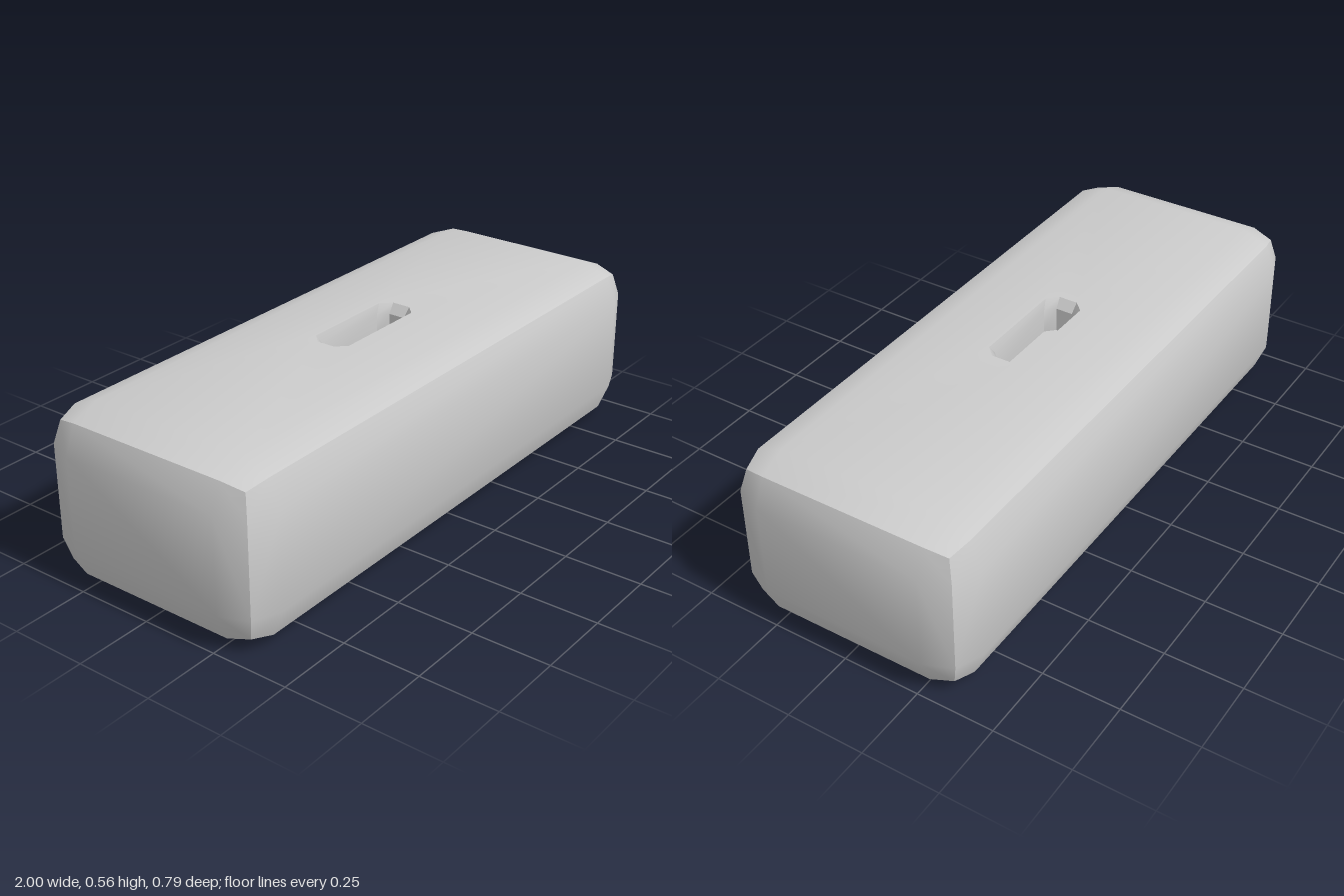
import * as THREE from 'three';
import { mergeGeometries, toCreasedNormals } from 'three/addons/utils/BufferGeometryUtils.js';

const HALF = [1, 0.2775, 0.393];
const MARGIN = 0.125; // width of the softened border on every face
const INSET = [0, 0, 0.036, 0.053]; // pull-in on faces, edges and corners

// Point of the 4 x 4 x 4 lattice that describes the softened block
function latticePoint(index) {
  const extremes = index.filter((i) => i === 0 || i === 3).length;
  return index.map((i, axis) => {
    const outer = i === 0 || i === 3;
    const reach = HALF[axis] - (outer ? INSET[extremes] : MARGIN);
    return (i < 2 ? -reach : reach) + (axis === 1 ? HALF[1] : 0);
  });
}

function fromTriangles(positions) {
  const g = new THREE.BufferGeometry();
  g.setAttribute('position', new THREE.Float32BufferAttribute(positions, 3));
  return g;
}

function pushQuad(out, a, b, c, d) {
  out.push(...a, ...b, ...c, ...a, ...c, ...d);
}

// Six softened faces; the middle of the top is left open for the slot
function blockShell() {
  const out = [];
  for (let axis = 0; axis < 3; axis++) {
    const u = (axis + 1) % 3, v = (axis + 2) % 3;
    for (const side of [0, 3]) {
      for (let i = 0; i < 3; i++) for (let j = 0; j < 3; j++) {
        if (axis === 1 && side === 3 && i === 1 && j === 1) continue;
        const p = (a, b) => {
          const index = [0, 0, 0];
          index[axis] = side; index[u] = a; index[v] = b;
          return latticePoint(index);
        };
        const q = [p(i, j), p(i + 1, j), p(i + 1, j + 1), p(i, j + 1)];
        if (side === 0) q.reverse();
        pushQuad(out, ...q);
      }
    }
  }
  return fromTriangles(out);
}

// Rectangle with cut corners, counter-clockwise
function octagon(w, h, cut) {
  return [[w, -h + cut], [w, h - cut], [w - cut, h], [-w + cut, h],
    [-w, h - cut], [-w, -h + cut], [-w + cut, -h], [w - cut, -h]]
    .map(([x, y]) => new THREE.Vector2(x, y));
}

function flatShape(points, y, holes = []) {
  const shape = new THREE.Shape(points);
  shape.holes = holes.map((h) => new THREE.Path(h));
  const g = new THREE.ShapeGeometry(shape).rotateX(-Math.PI / 2).translate(0, y, 0).toNonIndexed();
  g.deleteAttribute('uv');
  g.deleteAttribute('normal');
  return g;
}

export function createModel() {
  const group = new THREE.Group();
  const material = new THREE.MeshStandardMaterial({ color: 0xcccccc });
  const add = (name, geometry) => {
    const mesh = new THREE.Mesh(toCreasedNormals(geometry, 0.6), material);
    mesh.name = name;
    group.add(mesh);
  };

  const top = HALF[1] * 2;
  const rim = octagon(0.191, 0.063, 0.032);
  const inner = octagon(0.167, 0.056, 0.028);

  // Softened block with the slot opening in its top
  const w = HALF[0] - MARGIN, d = HALF[2] - MARGIN;
  const patch = [[-w, -d], [w, -d], [w, d], [-w, d]].map(([x, y]) => new THREE.Vector2(x, y));
  add('block', mergeGeometries([blockShell(), flatShape(patch, top, [rim])]));

  // Slot: bevelled rim, straight walls and a floor
  const rings = [[rim, top], [inner, top - 0.03], [inner, top - 0.11]];
  const walls = [];
  for (let r = 0; r < rings.length - 1; r++) {
    for (let i = 0; i < 8; i++) {
      const at = (ring, k) => {
        const p = rings[ring][0][k % 8];
        return [p.x, rings[ring][1], -p.y];
      };
      pushQuad(walls, at(r, i), at(r, i + 1), at(r + 1, i + 1), at(r + 1, i));
    }
  }
  add('slot', mergeGeometries([fromTriangles(walls), flatShape(inner, top - 0.11)]));

  return group;
}
